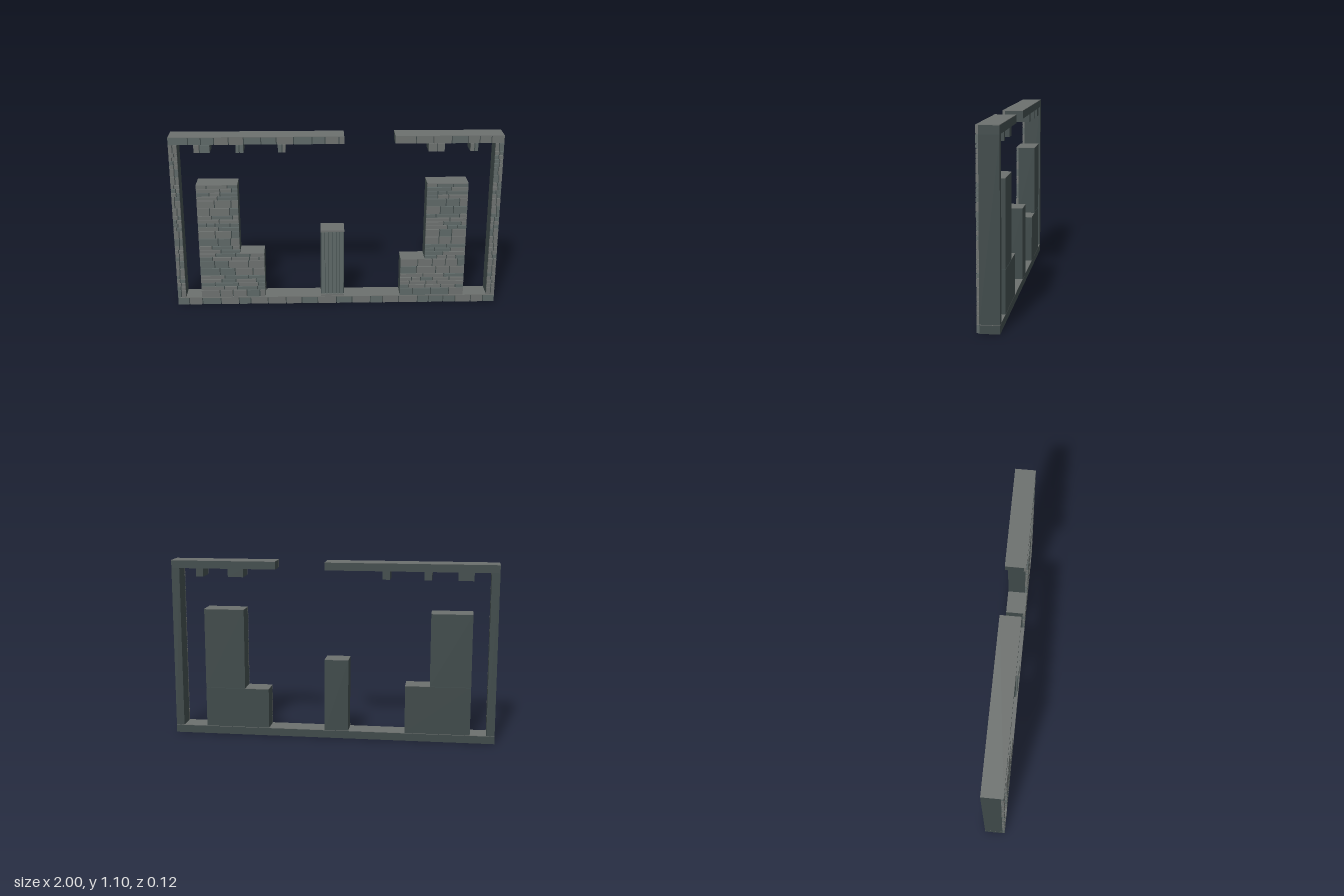
import * as THREE from 'three';
import { mergeGeometries } from 'three/addons/utils/BufferGeometryUtils.js';

const BACK = -0.0625, FACE = 0.048, FRONT = 0.0625; // rear, mortar and stone planes
const CAP = 0.003, GAP = 0.003;

export function createModel() {
  const root = new THREE.Group();
  root.name = 'stoneRuin';
  const mortar = new THREE.MeshStandardMaterial({ color: 0x3d4848 });
  const tones = [0x6c706e, 0x5d6766].map((color) => new THREE.MeshStandardMaterial({ color }));

  let seed = 17;
  const rand = () => (seed = (seed * 16807) % 2147483647) / 2147483647;

  const box = (x0, x1, y0, y1, z0, z1) =>
    new THREE.BoxGeometry(x1 - x0, y1 - y0, z1 - z0)
      .translate((x0 + x1) / 2, (y0 + y1) / 2, (z0 + z1) / 2);
  const add = (parent, name, geometry, material) => {
    const mesh = new THREE.Mesh(geometry, material);
    mesh.name = name;
    parent.add(mesh);
  };

  // Courses alternate every 0.1: tall stones, then thin ones
  function courses(y0, y1) {
    const rows = [];
    for (let y = y0; y < y1 - 0.001;) {
      const tall = Math.floor(y * 10 + 0.01) % 2 === 0;
      const top = Math.min(y + (tall ? 0.05 : 0.025), y1);
      rows.push([y, top, tall]);
      y = top;
    }
    return rows;
  }

  // Solid backing faced with stones; capRange gives the exposed top slab
  function masonry(name, x0, x1, y0, y1, capRange) {
    const group = new THREE.Group();
    group.name = name;
    root.add(group);
    const top = capRange ? y1 - CAP : y1;
    add(group, 'backing', box(x0, x1, y0, top, BACK, FACE), mortar);
    const stones = [[], []];
    for (const [a, b, tall] of courses(y0, y1)) {
      const cuts = [x0];
      const narrow = x1 - x0 < 0.12;
      let x = x0;
      while (x < x1) {
        x += narrow ? (x1 - x0) * (0.35 + 0.3 * rand())
          : tall ? 0.07 + 0.055 * rand() : 0.05 + 0.1 * rand();
        if (x > x1 - (narrow ? 0.014 : 0.03)) break;
        cuts.push(x);
        if (narrow) break;
      }
      cuts.push(x1);
      for (let i = 0; i < cuts.length - 1; i++) {
        const l = cuts[i] + (i ? GAP : 0);
        const r = cuts[i + 1] - (i < cuts.length - 2 ? GAP : 0);
        const yTop = b >= y1 - 0.001 ? top : b - GAP * 0.8;
        const yBottom = a > y0 + 0.001 ? a + GAP * 0.8 : a + GAP;
        stones[rand() < 0.6 ? 0 : 1].push(box(l, r, yBottom, yTop, FACE, FRONT));
      }
    }
    stones.forEach((list, i) => {
      if (list.length) add(group, 'facingStones', mergeGeometries(list), tones[i]);
    });
    if (capRange) {
      add(group, 'topSlab', box(capRange[0], capRange[1], y1 - CAP, y1, BACK, FRONT), tones[0]);
    }
  }

  // Frame: floor, side walls and the broken ceiling
  masonry('floor', -1, 1, 0, 0.05, [-1, 1]);
  masonry('rightWall', -1, -0.95, 0.05, 1.05);
  masonry('leftWall', 0.95, 1, 0.05, 1.05);
  masonry('rightCeiling', -1, 0.045, 1.05, 1.1, [-1, 0.045]);
  masonry('leftCeiling', 0.35, 1, 1.05, 1.1, [0.35, 1]);

  // Blocks hanging from the ceiling
  for (const [x0, x1] of [[-0.85, -0.755], [-0.6, -0.555], [-0.35, -0.305], [0.55, 0.645], [0.8, 0.845]]) {
    masonry('hangingBlock', x0, x1, 1.0, 1.05);
  }

  // Stepped towers
  masonry('rightTowerBase', -0.85, -0.45, 0.05, 0.35, [-0.6, -0.45]);
  masonry('rightTower', -0.85, -0.6, 0.35, 0.8, [-0.85, -0.6]);
  masonry('leftTowerBase', 0.4, 0.8, 0.05, 0.3, [0.4, 0.55]);
  masonry('leftTower', 0.55, 0.8, 0.3, 0.8, [0.55, 0.8]);

  // Pillar with ribbed front between a foot and a head strip
  const pillar = new THREE.Group();
  pillar.name = 'pillar';
  root.add(pillar);
  const px0 = -0.1, px1 = 0.047;
  add(pillar, 'shaft', box(px0, px1, 0.05, 0.5 - CAP, BACK, FACE), mortar);
  add(pillar, 'topSlab', box(px0, px1, 0.5 - CAP, 0.5, BACK, FRONT), tones[0]);
  add(pillar, 'head', box(px0, px1, 0.488, 0.5 - CAP, FACE, FRONT), tones[0]);
  add(pillar, 'foot', box(px0, px1, 0.053, 0.064, FACE, FRONT), tones[0]);
  const ribs = [], pitch = (px1 - px0 - 0.008) / 6;
  for (let i = 0; i < 6; i++) {
    const x = px0 + 0.004 + i * pitch;
    ribs.push(box(x + 0.0015, x + pitch - 0.0015, 0.066, 0.486, FACE, i % 2 ? 0.059 : 0.056));
  }
  add(pillar, 'ribs', mergeGeometries(ribs), tones[1]);

  return root;
}
